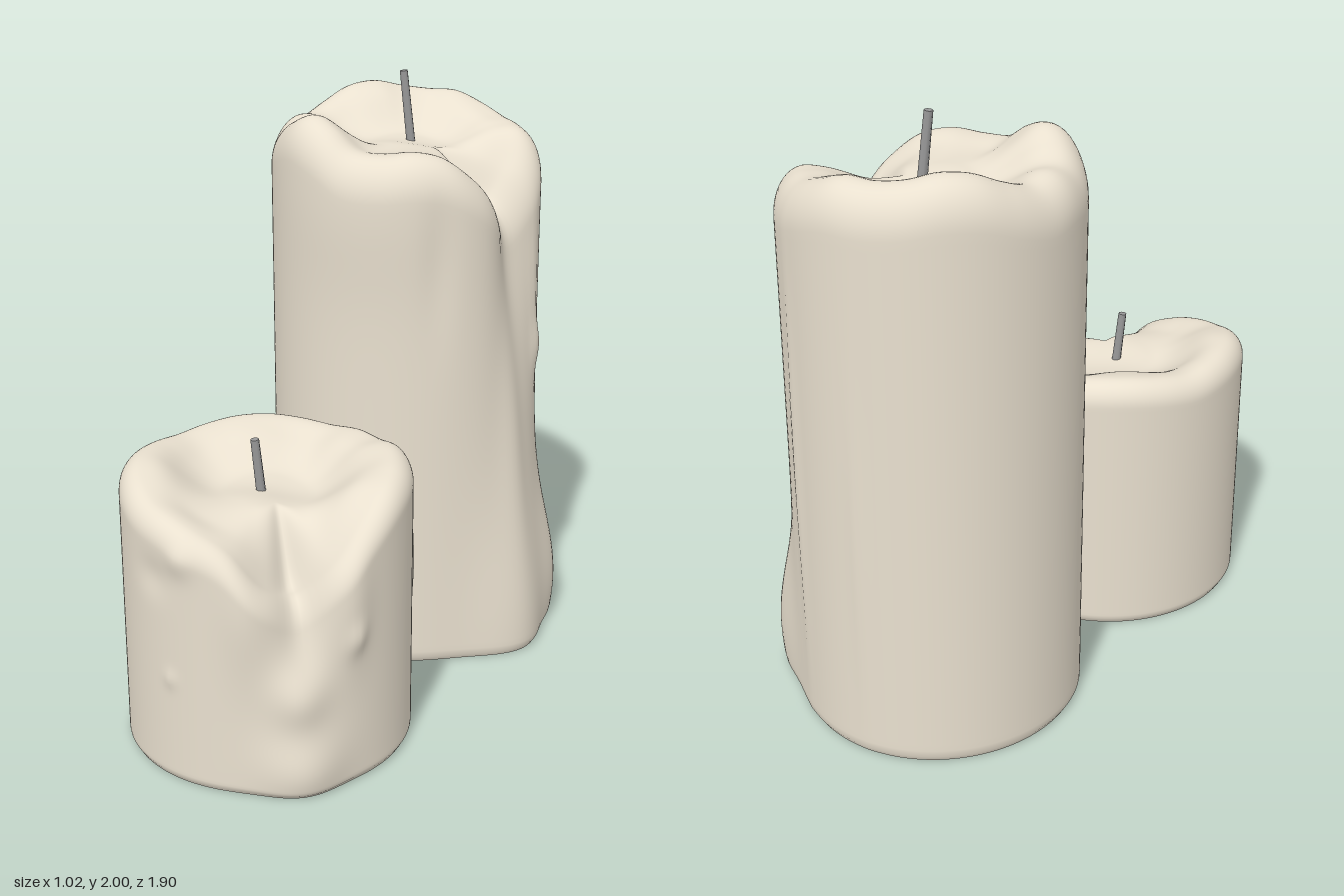
import * as THREE from 'three';

const SEG = 144, WALL = 60, ARC = 10, TOP = 30;
const RAD = Math.PI / 180;
const smooth = THREE.MathUtils.smoothstep;

// Smooth periodic lookup of the rim height, one entry every 15 degrees
function rimHeight(table, deg) {
  const n = table.length, f = deg / (360 / n), i = Math.floor(f), t = f - i;
  const p = k => table[(i + k + n) % n];
  const [a, b, c, d] = [p(-1), p(0), p(1), p(2)];
  return b + 0.5 * t * (c - a + t * (2 * a - 5 * b + 4 * c - d + t * (3 * (b - c) + d - a)));
}

// Soft dents and drips on the wall: [angle, y, angular width, half height, amount]
function relief(list, deg, y) {
  let sum = 0;
  for (const [a, y0, w, h, amount] of list) {
    const da = ((deg - a + 540) % 360) - 180;
    sum += amount * Math.exp(-((da / w) ** 2) - ((y - y0) / h) ** 2);
  }
  return sum;
}

// One closed wax skin: wall rows, rounded rim, melted pool, flat underside
function waxGeometry({ radius, rim, marks, lip, lipDrop, pool }) {
  const pos = [], idx = [];
  const wall = (deg, y) => radius + relief(marks, deg, y)
    + 0.003 * Math.sin(3 * deg * RAD + 1) - 0.012 * Math.exp(-((y / 0.012) ** 2));
  const rows = WALL + ARC + TOP;

  for (let r = 0; r < rows; r++) {
    for (let s = 0; s < SEG; s++) {
      const deg = s * 360 / SEG, a = deg * RAD;
      const H = rimHeight(rim, deg);
      let R, y;
      if (r < WALL) {
        y = (H - lipDrop) * (r / WALL) ** 1.1;
        R = wall(deg, y);
      } else if (r < WALL + ARC) {
        const phi = (r - WALL) / ARC * Math.PI / 2;
        y = H - lipDrop * (1 - Math.sin(phi));
        R = wall(deg, y) - lip * (1 - Math.cos(phi));
      } else {
        const t = 1 - (r - WALL - ARC) / TOP;
        R = (wall(deg, H) - lip) * t;
        const x = R * Math.cos(a), z = R * Math.sin(a);
        const ripple = 0.016 * Math.sin(11 * x + 4 * z + 1) * Math.sin(13 * z - 5 * x);
        y = pool + (H - pool) * smooth(t, 0.35, 1) + ripple * smooth(1 - t, 0, 0.3);
      }
      pos.push(R * Math.cos(a), y, R * Math.sin(a));
    }
  }
  const quadRow = r => {
    for (let s = 0; s < SEG; s++) {
      const n = (s + 1) % SEG, a = r * SEG + s, b = r * SEG + n;
      idx.push(a, a + SEG, b, b, a + SEG, b + SEG);
    }
  };
  for (let r = 0; r < rows - 1; r++) quadRow(r);

  // Close the pool at its middle, then add the underside with its own corners
  const mid = pos.length / 3;
  pos.push(0, pool, 0);
  const base = mid + 1;
  for (let s = 0; s < SEG; s++) pos.push(pos[s * 3], 0, pos[s * 3 + 2]);
  const under = pos.length / 3;
  pos.push(0, 0, 0);
  for (let s = 0; s < SEG; s++) {
    const n = (s + 1) % SEG, last = (rows - 1) * SEG;
    idx.push(last + s, mid, last + n);
    idx.push(base + s, base + n, under);
  }
  const geo = new THREE.BufferGeometry();
  geo.setAttribute('position', new THREE.Float32BufferAttribute(pos, 3));
  geo.setIndex(idx);
  geo.computeVertexNormals();
  return geo;
}

const waxMaterial = new THREE.MeshStandardMaterial({ color: 0xe9e0cf });
const wickMaterial = new THREE.MeshStandardMaterial({ color: 0x999999 });

function candle(name, x, z, spec, wickFrom, wickTo) {
  const group = new THREE.Group();
  group.name = name;
  group.position.set(x, 0, z);
  const wax = new THREE.Mesh(waxGeometry(spec), waxMaterial);
  wax.name = 'wax';

  // Slightly leaning wick
  const from = new THREE.Vector3(...wickFrom), to = new THREE.Vector3(...wickTo);
  const dir = to.clone().sub(from);
  const wick = new THREE.Mesh(new THREE.CylinderGeometry(0.014, 0.016, dir.length(), 8), wickMaterial);
  wick.name = 'wick';
  wick.position.copy(from).add(to).multiplyScalar(0.5);
  wick.quaternion.setFromUnitVectors(new THREE.Vector3(0, 1, 0), dir.normalize());
  group.add(wax, wick);
  return group;
}

export function createModel() {
  const model = new THREE.Group();
  model.name = 'candles';

  model.add(candle('tallCandle', -0.055, -0.475, {
    radius: 0.465, lip: 0.1, lipDrop: 0.14, pool: 1.76,
    rim: [1.58, 1.63, 1.71, 1.78, 1.8, 1.79, 1.8, 1.86, 1.89, 1.86, 1.83, 1.84,
      1.83, 1.86, 1.9, 1.91, 1.89, 1.88, 1.88, 1.85, 1.82, 1.81, 1.79, 1.69],
    marks: [
      [4, 1.6, 15, 0.5, -0.09],     // spill channel
      [10, 0, 20, 0.55, 0.095],     // run of wax at the foot
      [-24, 0.15, 17, 0.36, 0.09],
      [12, 0.75, 7, 0.45, 0.015],
      [-15, 1.07, 4, 0.08, 0.015],  // hanging drops
      [-14, 1.3, 3, 0.25, 0.008],
      [80, 1.62, 35, 0.25, 0.02],   // swollen lip at the front
      [50, 1.45, 7, 0.25, -0.012],
      [-65, 0.9, 3, 0.6, 0.01],     // thin runs at the back
      [-100, 0.7, 3, 0.5, 0.008],
    ],
  }, [-0.015, 1.73, -0.06], [-0.04, 1.995, -0.045]));

  model.add(candle('shortCandle', -0.055, 0.487, {
    radius: 0.463, lip: 0.07, lipDrop: 0.08, pool: 0.82,
    rim: [0.9, 0.83, 0.73, 0.62, 0.67, 0.78, 0.83, 0.86, 0.88, 0.91, 0.93, 0.93,
      0.92, 0.91, 0.92, 0.93, 0.93, 0.92, 0.91, 0.92, 0.92, 0.94, 0.94, 0.93],
    marks: [
      [46, 0.66, 9, 0.2, -0.07],    // spill channel
      [48, 0.33, 10, 0.1, 0.035],   // stacked drips below it
      [47, 0.08, 15, 0.14, 0.05],
      [68, 0.62, 9, 0.2, 0.02],
      [26, 0.6, 8, 0.18, 0.02],
      [25, 0.5, 4, 0.05, 0.015],
      [94, 0.76, 6, 0.05, 0.014],
      [108, 0.68, 8, 0.06, -0.01],
      [100, 0.35, 2.5, 0.03, 0.008],
      [-44, 0.45, 3, 0.28, 0.012],  // thin runs on the side
      [-36, 0.55, 3, 0.16, 0.012],
      [-48, 0.18, 3, 0.09, 0.012],
    ],
  }, [-0.02, 0.79, 0.0], [-0.035, 0.995, 0.013]));

  return model;
}
